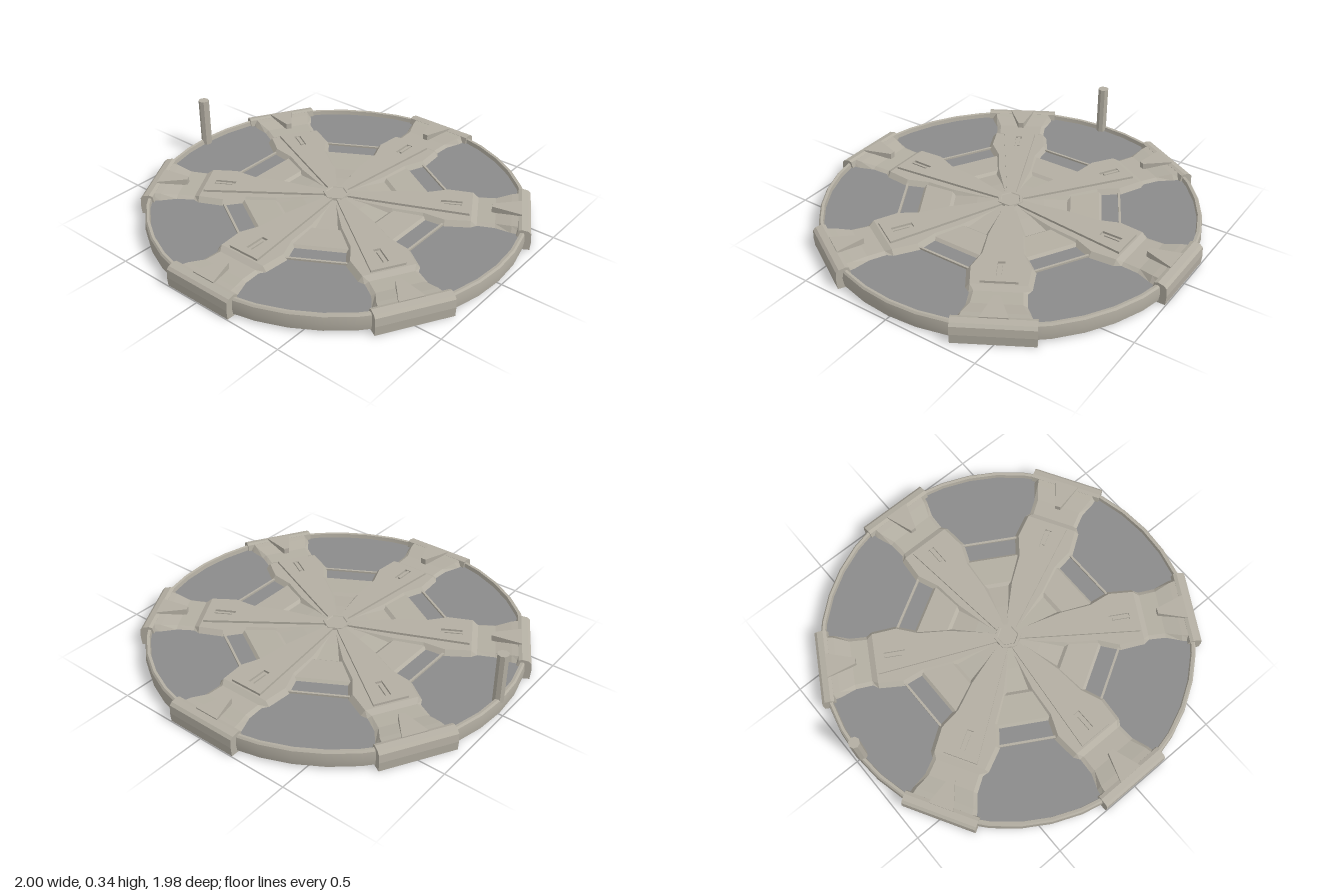
import * as THREE from 'three';
import { toCreasedNormals } from 'three/addons/utils/BufferGeometryUtils.js';

const metal = new THREE.MeshStandardMaterial({ color: 0xb3aea2 });
metal.name = 'warm grey metal';
const glass = new THREE.MeshStandardMaterial({ color: 0x8b8b8b });
glass.name = 'grey panel';

function part(name, geometry, material = metal) {
  const mesh = new THREE.Mesh(geometry, material);
  mesh.name = name;
  return mesh;
}

const v2 = (list) => list.map(([a, b]) => new THREE.Vector2(a, b));

// faceted normals
function facet(geometry) {
  const g = geometry.index ? geometry.toNonIndexed() : geometry;
  g.computeVertexNormals();
  return g;
}

// flat plate outlined in (radius, width), lying between heights y0 and y1
function plate(points, y0, y1, holes = []) {
  const shape = new THREE.Shape(v2(points));
  for (const h of holes) shape.holes.push(new THREE.Path(v2(h)));
  const g = new THREE.ExtrudeGeometry(shape, { depth: y1 - y0, bevelEnabled: false });
  g.rotateX(-Math.PI / 2);
  g.translate(0, y0, 0);
  return g;
}

// ridge along x from stations [radius, half width at top, top height]
function ridge(stations, yBase, flare) {
  const rows = stations.map(([r, w, y]) => [
    [r, yBase, -w - flare], [r, y, -w], [r, y, w], [r, yBase, w + flare],
  ]);
  const pos = [];
  for (let i = 0; i < rows.length - 1; i++) {
    for (let j = 0; j < 3; j++) {
      const a = rows[i][j], b = rows[i][j + 1], c = rows[i + 1][j + 1], d = rows[i + 1][j];
      pos.push(...a, ...b, ...c, ...a, ...c, ...d);
    }
  }
  const g = new THREE.BufferGeometry();
  g.setAttribute('position', new THREE.Float32BufferAttribute(pos, 3));
  g.computeVertexNormals();
  return g;
}

export function createModel() {
  const model = new THREE.Group();
  model.name = 'spokedPlatform';

  // closed underside, outer wall and thin lip
  const rim = new THREE.LatheGeometry(v2([
    [0, 0.006], [0.965, 0.006], [0.983, 0.012], [0.988, 0.05], [0.984, 0.088],
    [0.976, 0.097], [0.962, 0.095], [0.958, 0.07],
  ]), 40);
  model.add(part('rim', toCreasedNormals(rim, 0.6)));

  // inset panel
  const panel = new THREE.CircleGeometry(0.962, 40);
  panel.rotateX(-Math.PI / 2);
  panel.translate(0, 0.073, 0);
  model.add(part('panel', panel, glass));

  // six-sided hub web with a recessed dish
  const web = new THREE.LatheGeometry(v2([
    [0.55, 0.07], [0.53, 0.086], [0.36, 0.09], [0.34, 0.078], [0.2, 0.094], [0.05, 0.104],
  ]), 6);
  web.rotateY(Math.PI / 6);
  model.add(part('hubWeb', facet(web)));

  // hub cap with a raised centre
  const cap = new THREE.LatheGeometry(v2([
    [0.078, 0.09], [0.072, 0.115], [0.056, 0.115], [0.052, 0.111], [0, 0.111],
  ]), 6);
  cap.rotateY(Math.PI / 6);
  model.add(part('hubCap', facet(cap)));

  // shared spoke geometries
  const arm = ridge([
    [0.06, 0.03, 0.1], [0.3, 0.085, 0.099], [0.46, 0.1, 0.099], [0.57, 0.145, 0.099],
    [0.7, 0.135, 0.099], [0.73, 0.115, 0.084], [0.82, 0.12, 0.086],
    [0.9, 0.15, 0.101], [0.955, 0.16, 0.108],
  ], 0.072, 0.022);
  const blade = plate(
    [[0.05, -0.022], [0.69, -0.09], [0.69, 0.09], [0.05, 0.022]], 0.095, 0.111,
    [[[0.54, -0.018], [0.54, 0.018], [0.65, 0.018], [0.65, -0.018]]],
  );
  const tongue = plate([[0.56, -0.007], [0.66, -0.007], [0.66, 0.007], [0.56, 0.007]], 0.097, 0.108);
  const marker = plate([[0.8, -0.015], [0.95, -0.066], [0.95, 0.066], [0.8, 0.015]], 0.085, 0.118);

  // clamp profile in (radius, height), swept along the rim
  const clamp = new THREE.ExtrudeGeometry(new THREE.Shape(v2([
    [0.925, 0], [0.996, 0], [1, 0.05], [0.996, 0.092], [0.982, 0.105],
    [0.95, 0.112], [0.932, 0.106], [0.925, 0.075],
  ])), { depth: 0.39, bevelEnabled: false });
  clamp.translate(0, 0, -0.195);

  const strut = new THREE.BoxGeometry(0.012, 0.012, 0.64);
  strut.translate(0.565, 0.077, 0);

  for (let i = 0; i < 6; i++) {
    const spoke = new THREE.Group();
    spoke.name = 'spoke' + (i + 1);
    spoke.rotation.y = (i * Math.PI) / 3;
    spoke.add(
      part('arm', arm), part('blade', blade), part('slotTongue', tongue),
      part('rimClamp', clamp), part('clampMarker', marker),
    );
    // thin bar linking this arm to the next
    const link = part('linkBar', strut);
    link.rotation.y = Math.PI / 6;
    spoke.add(link);
    model.add(spoke);
  }

  // upright post at the back of the rim
  const post = new THREE.CylinderGeometry(0.029, 0.029, 0.27, 8);
  post.translate(-0.008, 0.207, -0.962);
  model.add(part('post', facet(post)));

  return model;
}
